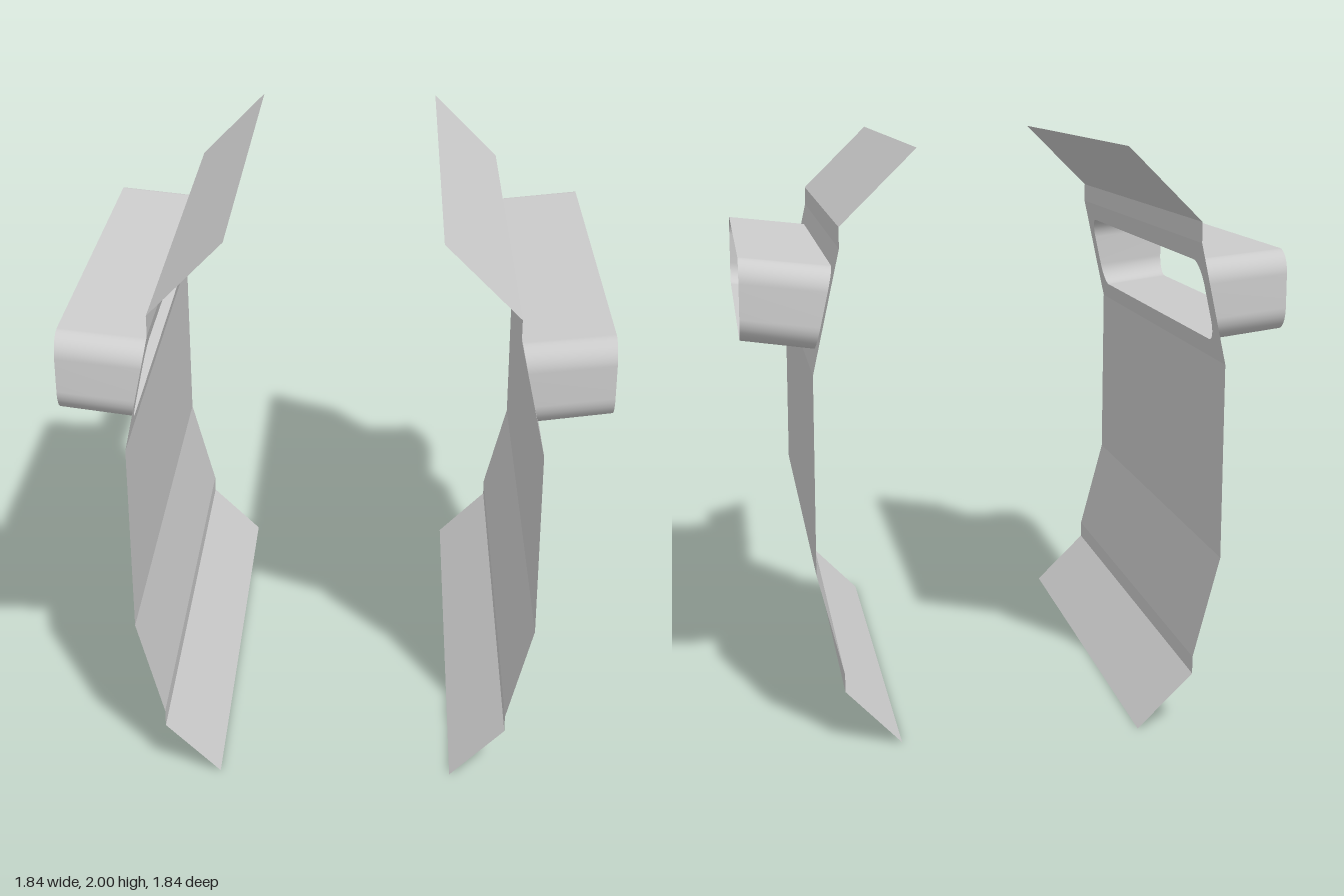
import * as THREE from 'three';
import { mergeGeometries } from 'three/addons/utils/BufferGeometryUtils.js';

const HALF_LENGTH = 0.92;
// Wall profile from bottom to top: [x, y]
const PROFILE = [
  [0.41, 0], [0.6, 0.19], [0.6, 0.25], [0.69, 0.6],
  [0.69, 1.27], [0.6, 1.68], [0.6, 1.75], [0.347, 2],
];
const WINDOW_PANEL = 4; // the sloping panel that holds the window

// Distance of the window panel from the middle at height y
function panelX(i, y) {
  const [x0, y0] = PROFILE[i], [x1, y1] = PROFILE[i + 1];
  return x0 + (x1 - x0) * (y - y0) / (y1 - y0);
}

// Counter-clockwise rounded rectangle for the window opening
function windowLoop() {
  const w = 0.845, bottom = 1.335, top = 1.61, r = 0.08, steps = 8;
  const corners = [[w - r, bottom + r], [w - r, top - r], [r - w, top - r], [r - w, bottom + r]];
  const points = [];
  corners.forEach(([u, v], c) => {
    for (let i = 0; i <= steps; i++) {
      const a = (c - 1 + i / steps) * Math.PI / 2;
      points.push(new THREE.Vector2(u + r * Math.cos(a), v + r * Math.sin(a)));
    }
  });
  return points;
}

// Folded sheet wall, one flat panel per profile segment
function wallGeometry(loop) {
  const panels = [];
  for (let i = 0; i < PROFILE.length - 1; i++) {
    const y0 = PROFILE[i][1], y1 = PROFILE[i + 1][1], L = HALF_LENGTH;
    const shape = new THREE.Shape([[-L, y0], [L, y0], [L, y1], [-L, y1]].map(p => new THREE.Vector2(...p)));
    if (i === WINDOW_PANEL) shape.holes.push(new THREE.Path(loop));
    const g = new THREE.ShapeGeometry(shape);
    const p = g.attributes.position;
    for (let k = 0; k < p.count; k++) {
      const u = p.getX(k), y = p.getY(k);
      p.setXYZ(k, panelX(i, y), y, -u);
    }
    g.computeVertexNormals();
    panels.push(g);
  }
  return mergeGeometries(panels);
}

// Open sleeve from the window edge outwards, rising slightly
function sleeveGeometry(loop) {
  const positions = [], index = [], n = loop.length;
  loop.forEach(({ x: u, y }, i) => {
    positions.push(panelX(WINDOW_PANEL, y), y, -u, 0.92, y + 0.033, -u);
    const a = 2 * i, b = 2 * ((i + 1) % n);
    index.push(a, b, b + 1, a, b + 1, a + 1);
  });
  const g = new THREE.BufferGeometry();
  g.setAttribute('position', new THREE.Float32BufferAttribute(positions, 3));
  g.setIndex(index);
  g.computeVertexNormals();
  return g;
}

export function createModel() {
  const model = new THREE.Group();
  model.name = 'foldedSideWalls';
  const grey = new THREE.MeshStandardMaterial({ color: 0xcccccc, side: THREE.DoubleSide });
  grey.name = 'lightGrey';

  const loop = windowLoop();
  const wall = wallGeometry(loop), sleeve = sleeveGeometry(loop);
  for (const [side, angle] of [['left', 0], ['right', Math.PI]]) {
    const group = new THREE.Group();
    group.name = side + 'Side';
    group.rotation.y = angle;
    const wallMesh = new THREE.Mesh(wall, grey);
    wallMesh.name = side + 'Wall';
    const sleeveMesh = new THREE.Mesh(sleeve, grey);
    sleeveMesh.name = side + 'WindowSleeve';
    group.add(wallMesh, sleeveMesh);
    model.add(group);
  }
  return model;
}
